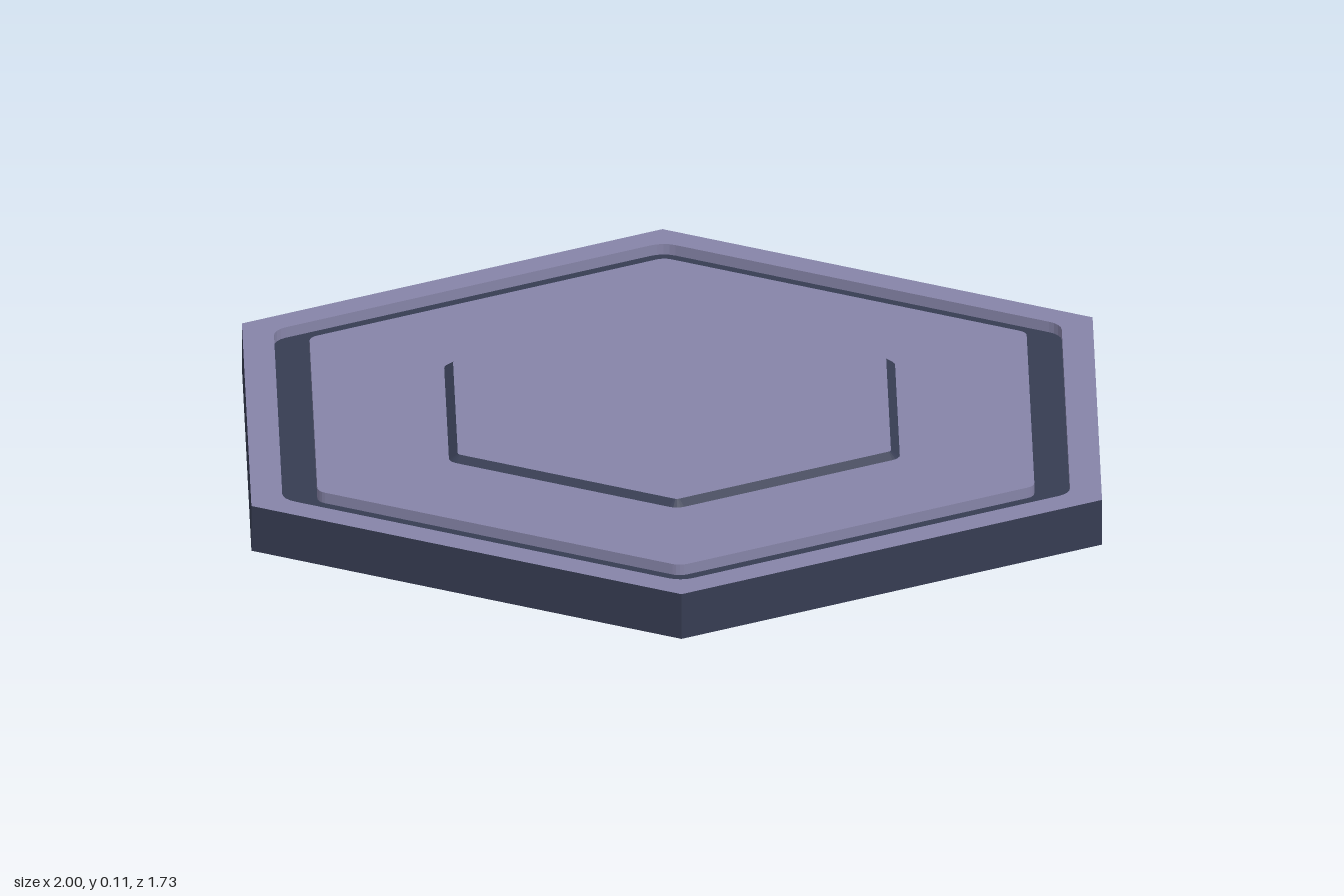
import * as THREE from 'three';

const ARC = 4; // segments in each softened corner

// Hexagonal outline with softened corners: [apothem, height, corner radius]
function hexRing([apothem, y, r]) {
  const points = [];
  const centre = (apothem - r) / Math.cos(Math.PI / 6);
  for (let i = 0; i < 6; i++) {
    const a = (i * Math.PI) / 3;
    for (let j = 0; j <= ARC; j++) {
      const b = a + (j / ARC - 0.5) * (Math.PI / 3);
      points.push(new THREE.Vector3(
        centre * Math.cos(a) + r * Math.cos(b), y,
        centre * Math.sin(a) + r * Math.sin(b)));
    }
  }
  return points;
}

// Faces joining one outline to the next, ordered from outside to inside
function loft(name, from, to, material) {
  const A = hexRing(from), B = hexRing(to), pos = [];
  const tri = (...corners) => {
    if (new THREE.Triangle(...corners).getArea() > 1e-8) {
      corners.forEach((p) => pos.push(p.x, p.y, p.z));
    }
  };
  A.forEach((a, i) => {
    const k = (i + 1) % A.length;
    tri(a, B[i], A[k]);
    tri(A[k], B[i], B[k]);
  });
  const geometry = new THREE.BufferGeometry();
  geometry.setAttribute('position', new THREE.Float32BufferAttribute(pos, 3));
  geometry.computeVertexNormals();
  const mesh = new THREE.Mesh(geometry, material);
  mesh.name = name;
  return mesh;
}

export function createModel() {
  const purple = new THREE.MeshStandardMaterial({ name: 'dusty purple', color: 0x8684a8, side: THREE.DoubleSide });
  const slate = new THREE.MeshStandardMaterial({ name: 'dark slate', color: 0x363c52, side: THREE.DoubleSide });

  const top = 0.098, floor = 0.075, raised = 0.11;
  const edge = Math.cos(Math.PI / 6);

  // Outlines of the open-bottomed shell, from the outer foot to the centre
  const foot = [edge, 0, 0];
  const rim = [edge, top, 0];
  const rimInner = [0.802, top, 0.05];
  const grooveOuter = [0.802, floor, 0.05];
  const grooveInner = [0.73, floor, 0.03];
  const panelEdge = [0.73, top, 0.03];
  const stepFoot = [0.459, top, 0.03];
  const stepTop = [0.441, raised, 0.01];
  const centre = [0, raised, 0];

  const model = new THREE.Group();
  model.name = 'hexagonalFloorTile';
  model.add(
    loft('outerWall', foot, rim, slate),
    loft('rim', rim, rimInner, purple),
    loft('grooveOuterWall', rimInner, grooveOuter, purple),
    loft('grooveFloor', grooveOuter, grooveInner, slate),
    loft('grooveInnerWall', grooveInner, panelEdge, purple),
    loft('panel', panelEdge, stepFoot, purple),
    loft('raisedPanelBevel', stepFoot, stepTop, slate),
    loft('raisedPanel', stepTop, centre, purple),
  );
  return model;
}
